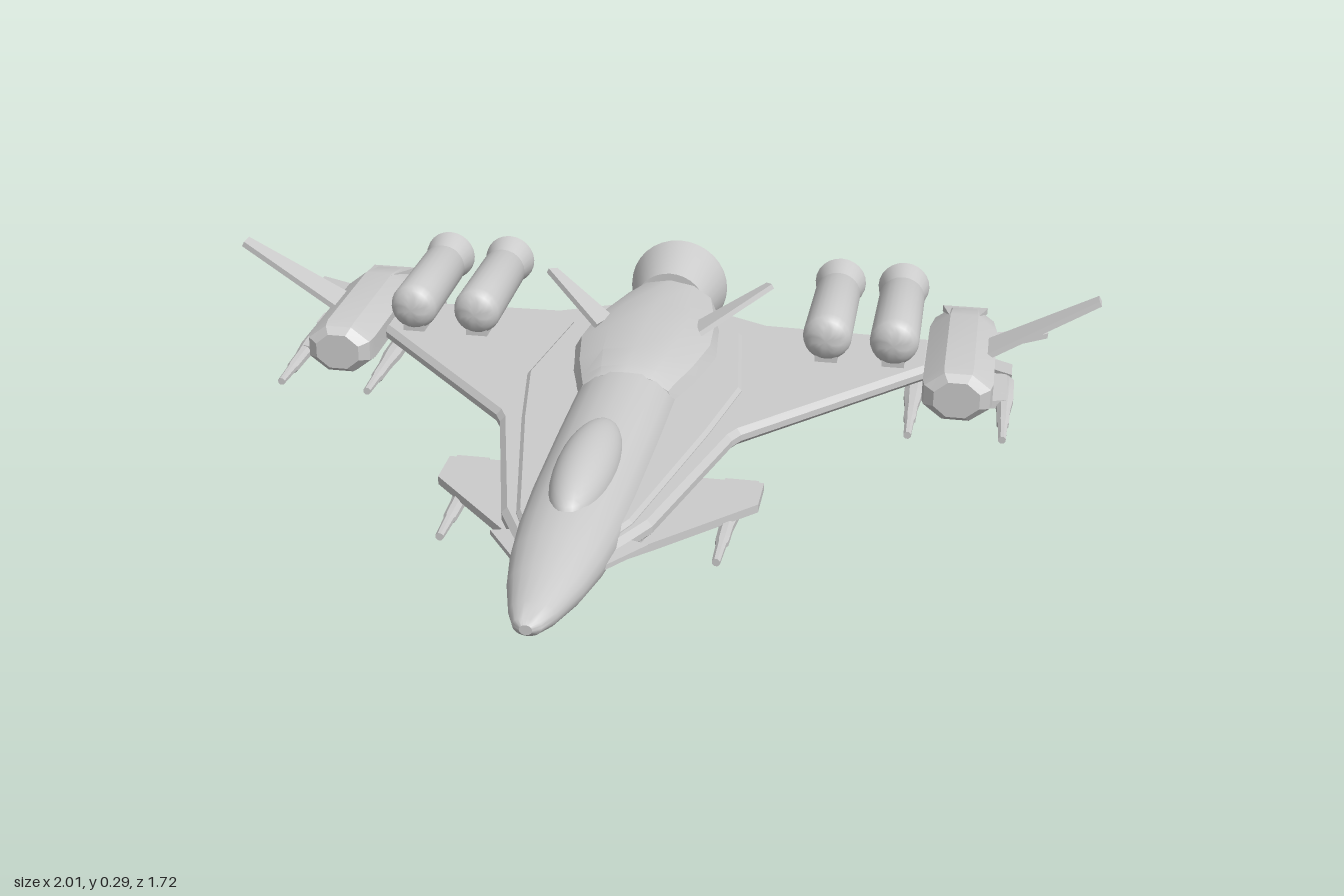
import * as THREE from 'three';
import { toCreasedNormals } from 'three/addons/utils/BufferGeometryUtils.js';
import { ConvexGeometry } from 'three/addons/geometries/ConvexGeometry.js';

const material = new THREE.MeshStandardMaterial({ color: 0xcccccc });

// Loft through rows of [z, halfWidth, yTop, yBottom, yWidest], front to back
function loft(rows, sides, flatSided = false, crease = 0.6) {
  const pos = [], idx = [];
  const offset = flatSided ? Math.PI / sides : 0;
  const grow = flatSided ? 1 / Math.cos(Math.PI / sides) : 1;
  rows.forEach(([z, w, top, bottom, mid = (top + bottom) / 2]) => {
    for (let j = 0; j < sides; j++) {
      const a = (j / sides) * Math.PI * 2 + offset;
      const s = Math.sin(a) * grow;
      pos.push(Math.cos(a) * grow * w, mid + s * (s > 0 ? top - mid : mid - bottom), z);
    }
  });
  for (let i = 0; i < rows.length - 1; i++) {
    for (let j = 0; j < sides; j++) {
      const k = (j + 1) % sides;
      const a = i * sides + j, b = i * sides + k, c = a + sides, d = b + sides;
      idx.push(a, c, b, b, c, d);
    }
  }
  const last = (rows.length - 1) * sides;
  for (let j = 1; j < sides - 1; j++) {
    idx.push(0, j, j + 1, last, last + j + 1, last + j);
  }
  const g = new THREE.BufferGeometry();
  g.setAttribute('position', new THREE.Float32BufferAttribute(pos, 3));
  g.setIndex(idx);
  return toCreasedNormals(g, crease);
}

// Thin convex plate around a flat outline of 3D corners, with thinned ends
function plate(corners, thickness, side) {
  const p = corners.map(([x, y, z]) => new THREE.Vector3(x * side, y, z));
  const n = p[1].clone().sub(p[0]).cross(p[2].clone().sub(p[0])).normalize();
  const pts = p.flatMap((v) => [
    v.clone().addScaledVector(n, thickness / 2),
    v.clone().addScaledVector(n, -thickness / 2),
  ]);
  return new ConvexGeometry(pts);
}

// Symmetric flat slab from a right-hand outline of [x, z], lying from y up
function deck(outline, y, height, bevel) {
  const mirrored = outline.map(([x, z]) => [-x, z]).reverse();
  const shape = new THREE.Shape([...outline, ...mirrored].map(([x, z]) => new THREE.Vector2(x, -z)));
  const g = new THREE.ExtrudeGeometry(shape, {
    depth: height - 2 * bevel, bevelThickness: bevel, bevelSize: bevel, bevelOffset: -bevel, bevelSegments: 1,
  });
  return g.rotateX(-Math.PI / 2).translate(0, y + bevel, 0);
}

// Turned part running along z; rows of [radius, z] from back to front
function turned(rows, x, y, segments = 24) {
  const g = new THREE.LatheGeometry(rows.map(([r, z]) => new THREE.Vector2(r, z)), segments);
  return toCreasedNormals(g.rotateX(Math.PI / 2), 0.6).translate(x, y, 0);
}

export function createModel() {
  const model = new THREE.Group();
  const add = (name, geometry) => {
    const mesh = new THREE.Mesh(geometry, material);
    mesh.name = name;
    model.add(mesh);
    return mesh;
  };

  // Body
  add('fuselage', loft([
    [0.857, 0.012, 0.152, 0.132], [0.845, 0.027, 0.16, 0.123], [0.8, 0.045, 0.17, 0.108],
    [0.7, 0.072, 0.184, 0.086], [0.6, 0.09, 0.196, 0.07], [0.5, 0.1, 0.203, 0.06],
    [0.35, 0.107, 0.208, 0.05], [0.1, 0.111, 0.21, 0.044], [-0.13, 0.113, 0.211, 0.037],
    [-0.4, 0.1, 0.2, 0.032], [-0.66, 0.08, 0.18, 0.03],
  ], 20));
  add('engineCowl', loft([
    [-0.1, 0.108, 0.21, 0.042, 0.14], [-0.13, 0.118, 0.219, 0.036, 0.14], [-0.22, 0.145, 0.22, 0.033, 0.14],
    [-0.35, 0.17, 0.22, 0.03, 0.138], [-0.5, 0.158, 0.212, 0.027, 0.13], [-0.69, 0.115, 0.192, 0.025, 0.115],
  ], 12, false, 0.45));
  const canopy = new THREE.SphereGeometry(1, 28, 18);
  canopy.scale(0.062, 0.06, 0.21).translate(0, 0.187, 0.32);
  add('canopy', canopy);
  add('mainNozzle', turned([
    [0, -0.845], [0.098, -0.845], [0.1, -0.86], [0.119, -0.835], [0.117, -0.82], [0.088, -0.69], [0, -0.69],
  ], 0, 0.121, 32));

  // Delta wing, with a raised shoulder and a lower belly plate
  add('deltaWing', deck([
    [0.08, 0.56], [0.15, 0.42], [0.25, 0.02], [0.265, -0.01], [0.635, -0.41], [0.635, -0.572],
    [0.25, -0.585], [0.13, -0.645],
  ], 0.104, 0.038, 0.012));
  add('wingShoulder', deck([
    [0.08, 0.52], [0.115, 0.44], [0.2, 0.03], [0.24, -0.2], [0.2, -0.5], [0.13, -0.58],
  ], 0.13, 0.022, 0.008));
  add('bellyPlate', deck([
    [0.07, 0.53], [0.13, 0.42], [0.19, 0.13], [0.18, -0.25], [0.14, -0.6],
  ], 0.074, 0.036, 0.012));

  for (const s of [1, -1]) {
    const side = s > 0 ? 'left' : 'right';
    const fin = (name, corners, thickness) => add(side + name, plate(corners, thickness, s));

    // Forward surfaces
    fin('NoseStrake', [[0.08, 0.126, 0.6], [0.155, 0.124, 0.49], [0.12, 0.124, 0.51], [0.08, 0.126, 0.47]], 0.01);
    fin('Canard', [[0.1, 0.085, 0.47], [0.15, 0.085, 0.42], [0.332, 0.085, 0.225], [0.332, 0.085, 0.13], [0.1, 0.085, 0.13]], 0.018);
    fin('CanardFlap', [[0.25, 0.085, 0.24], [0.32, 0.085, 0.22], [0.32, 0.085, 0.115], [0.25, 0.085, 0.115]], 0.01);

    // Slanted tail fin on the cowl
    fin('CowlFin', [[0.12, 0.192, -0.38], [0.265, 0.26, -0.53], [0.25, 0.253, -0.555], [0.1, 0.183, -0.46]], 0.012);

    // Boosters above the wing
    for (const x of [0.405, 0.555]) {
      const nose = [0, 1, 2, 3, 4, 5].map((i) => {
        const a = (i / 5) * Math.PI / 2;
        return [0.055 * Math.cos(a), -0.405 + 0.035 * Math.sin(a)];
      });
      add(side + 'Booster', turned([
        [0, -0.735], [0.05, -0.74], [0.06, -0.735], [0.058, -0.72], [0.046, -0.675], [0.053, -0.66], ...nose,
      ], s * x, 0.2));
      const mount = new THREE.BoxGeometry(0.05, 0.04, 0.2);
      add(side + 'BoosterMount', mount.translate(s * x, 0.142, -0.49));
    }

    // Wing tip pod with a tapered tail
    const pod = loft([
      [-0.268, 0.05, 0.17, 0.088], [-0.285, 0.072, 0.185, 0.075], [-0.31, 0.077, 0.19, 0.07],
      [-0.61, 0.077, 0.19, 0.07], [-0.7, 0.068, 0.17, 0.072], [-0.74, 0.056, 0.148, 0.08],
    ], 8, true, 0.35);
    add(side + 'TipPod', pod.translate(s * 0.703, 0, 0));
    fin('PodTail', [[0.67, 0.183, -0.6], [0.735, 0.183, -0.6], [0.755, 0.15, -0.74], [0.65, 0.15, -0.74]], 0.014);
    fin('PodUpperFin', [[0.75, 0.155, -0.44], [1, 0.287, -0.495], [1, 0.287, -0.53], [0.75, 0.155, -0.535]], 0.013);
    fin('PodRearFin', [[0.76, 0.113, -0.6], [0.9, 0.1, -0.735], [0.895, 0.1, -0.765], [0.76, 0.113, -0.68]], 0.013);

    // Slim guns beneath the pods and the canards
    for (const [x, y, z] of [[0.605, 0.083, -0.17], [0.806, 0.09, -0.17], [0.276, 0.066, 0.425]]) {
      const gun = loft([
        [0, 0.008, 0.008, -0.008], [-0.07, 0.01, 0.011, -0.011], [-0.08, 0.013, 0.013, -0.013],
        [-0.14, 0.014, 0.014, -0.014], [-0.2, 0.02, 0.017, -0.015], [-0.3, 0.02, 0.017, -0.015],
        [-0.32, 0.012, 0.012, -0.01],
      ], 8, true);
      add(side + 'Gun', gun.translate(s * x, y, z));
    }
    fin('GunBracket', [[0.76, 0.098, -0.32], [0.81, 0.098, -0.34], [0.81, 0.098, -0.48], [0.76, 0.098, -0.48]], 0.018);
    fin('OuterWinglet', [[0.77, 0.104, -0.5], [0.82, 0.104, -0.47], [0.82, 0.104, -0.53], [0.77, 0.104, -0.56]], 0.012);
  }
  return model;
}
